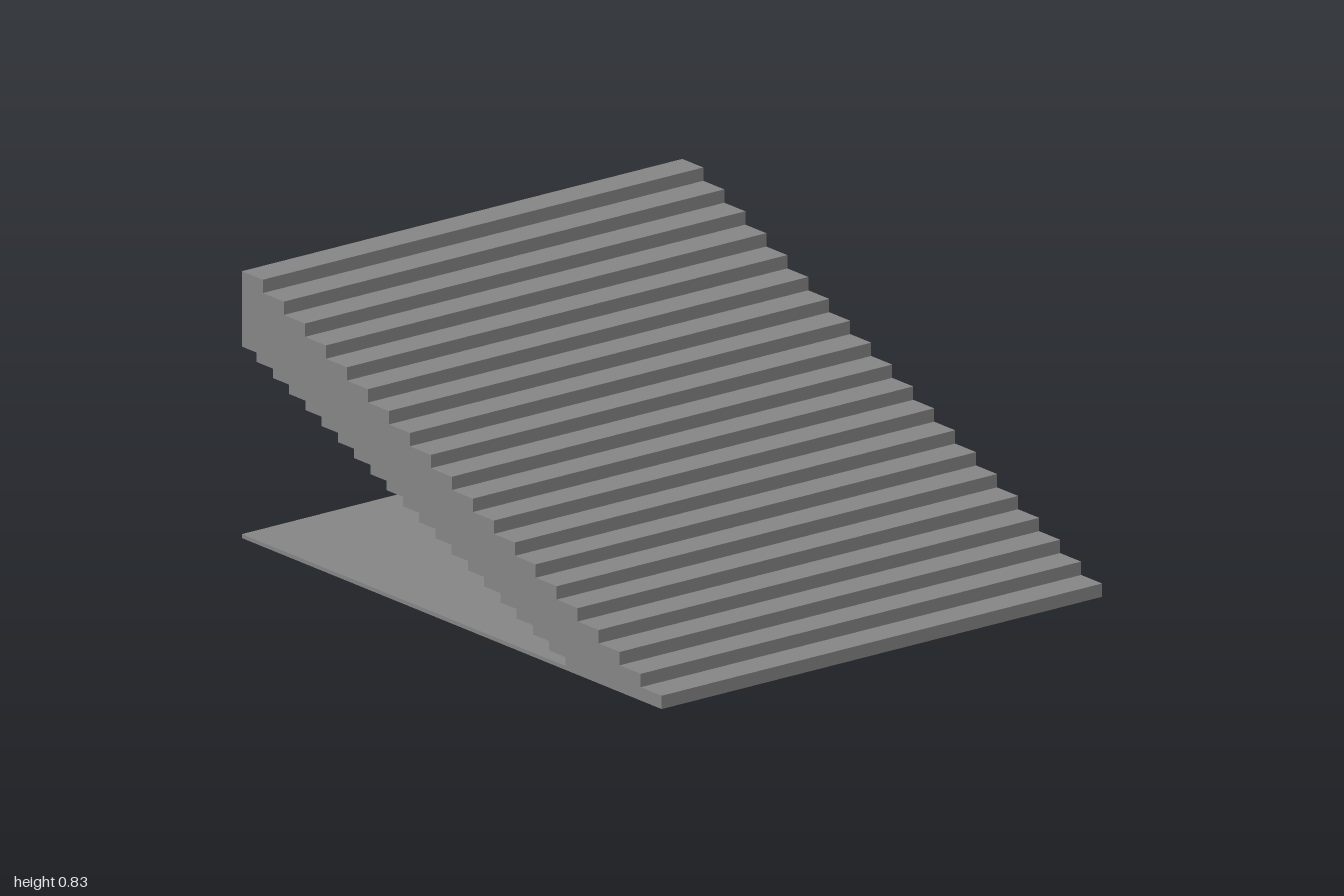
import * as THREE from 'three';

const WIDTH = 1.66, STEPS = 20, BASE = 0.0125;
const TREAD = 2 / STEPS, RISE = 0.8335 / STEPS;
// underside: smaller notches running from just above the base to the back
const UNDER_START = 0.541, UNDER_TREAD = 0.0774;
const UNDER_LOW = 0.04, UNDER_RISE = (0.598 - UNDER_LOW) / (STEPS - 1);

export function createModel() {
  const group = new THREE.Group();
  const material = new THREE.MeshStandardMaterial({ color: 0x868686, flatShading: true });

  // stair flight: side profile (z, y), extruded across the width
  const profile = new THREE.Shape();
  profile.moveTo(1, BASE);
  for (let i = 0; i < STEPS; i++) {
    const y = (i + 1) * RISE;
    profile.lineTo(1 - i * TREAD, y);
    profile.lineTo(1 - (i + 1) * TREAD, y);
  }
  // the last notch is cut short by the flat back
  for (let i = STEPS - 1; i >= 0; i--) {
    const y = UNDER_LOW + i * UNDER_RISE;
    profile.lineTo(Math.max(-1, UNDER_START - (i + 1) * UNDER_TREAD), y);
    profile.lineTo(UNDER_START - i * UNDER_TREAD, y);
  }
  profile.lineTo(UNDER_START, BASE);
  profile.closePath();

  const stairGeometry = new THREE.ExtrudeGeometry(profile, { depth: WIDTH, bevelEnabled: false });
  stairGeometry.translate(0, 0, -WIDTH / 2).rotateY(-Math.PI / 2);
  const stairs = new THREE.Mesh(stairGeometry, material);
  stairs.name = 'stairFlight';
  group.add(stairs);

  // thin floor slab under the whole flight
  const slab = new THREE.Mesh(new THREE.BoxGeometry(WIDTH, BASE, 2), material);
  slab.position.y = BASE / 2;
  slab.name = 'floorSlab';
  group.add(slab);

  return group;
}
